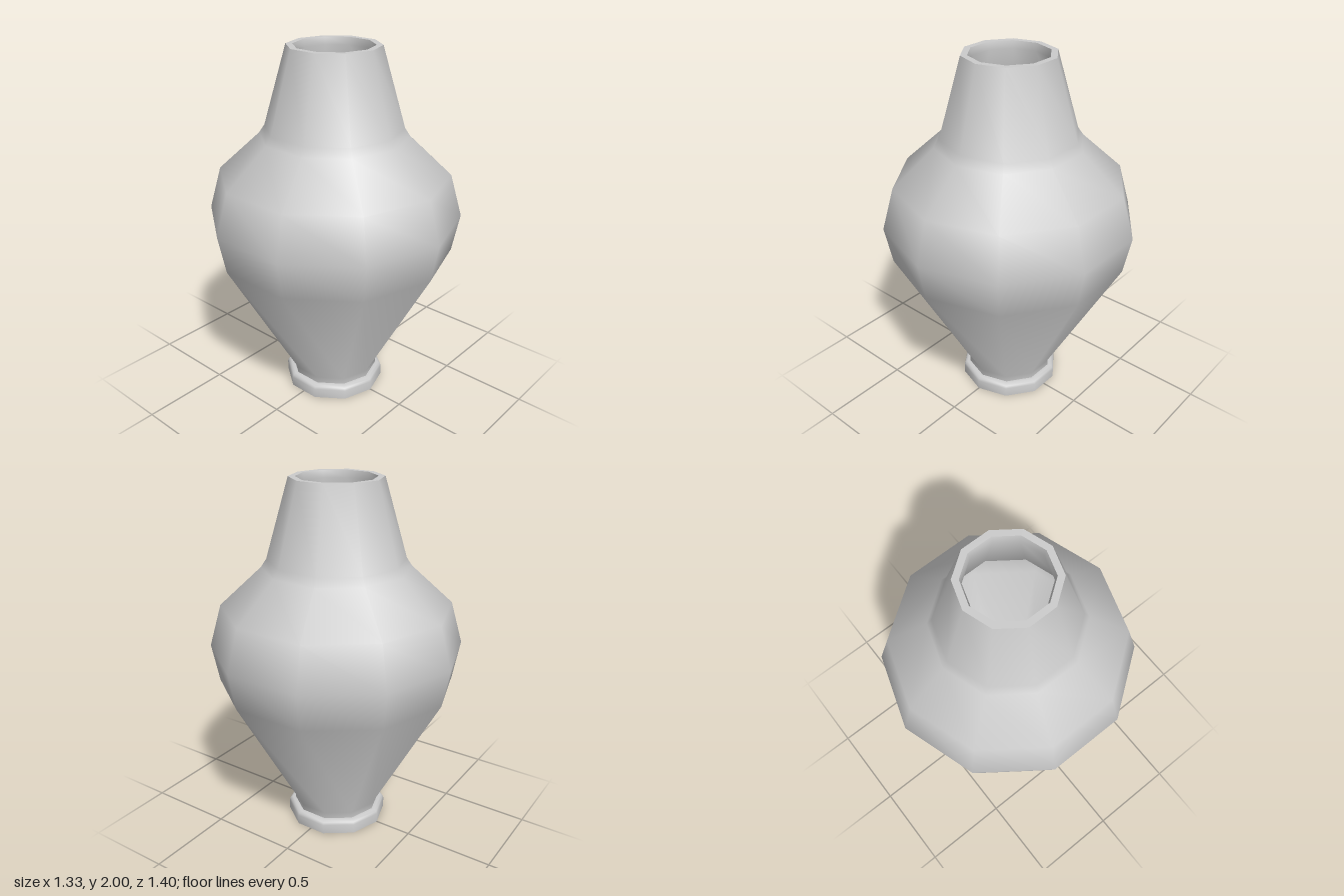
import * as THREE from 'three';
import { toCreasedNormals } from 'three/addons/utils/BufferGeometryUtils.js';

const SIDES = 10;
const material = new THREE.MeshStandardMaterial({ color: 0xcccccc });

// Ten-sided turned part, smooth around with sharp rims; profile is [radius, height]
function turned(name, profile) {
  const points = profile.map(([r, y]) => new THREE.Vector2(r, y));
  const geometry = toCreasedNormals(new THREE.LatheGeometry(points, SIDES), 0.85);
  const mesh = new THREE.Mesh(geometry, material);
  mesh.name = name;
  return mesh;
}

export function createModel() {
  const vase = new THREE.Group();
  vase.name = 'vase';

  // Hollow body: underside, outer wall up to the mouth, then back down inside
  vase.add(turned('body', [
    [0.16, 0.06], [0.25, 0.06], [0.25, 0.115],
    [0.66, 0.87], [0.70, 1.08], [0.633, 1.315],
    [0.405, 1.525], [0.375, 1.57], [0.25, 2.0],
    [0.215, 2.0], [0.205, 1.96], [0.335, 1.55], [0.37, 1.5],
    [0.59, 1.29], [0.65, 1.08], [0.61, 0.89],
    [0.2, 0.12], [0.16, 0.06],
  ]));

  // Foot ring with a softened top edge, open underneath
  vase.add(turned('footRing', [
    [0.245, 0], [0.287, 0], [0.287, 0.055], [0.282, 0.07],
    [0.268, 0.08], [0.245, 0.08], [0.245, 0],
  ]));

  return vase;
}
